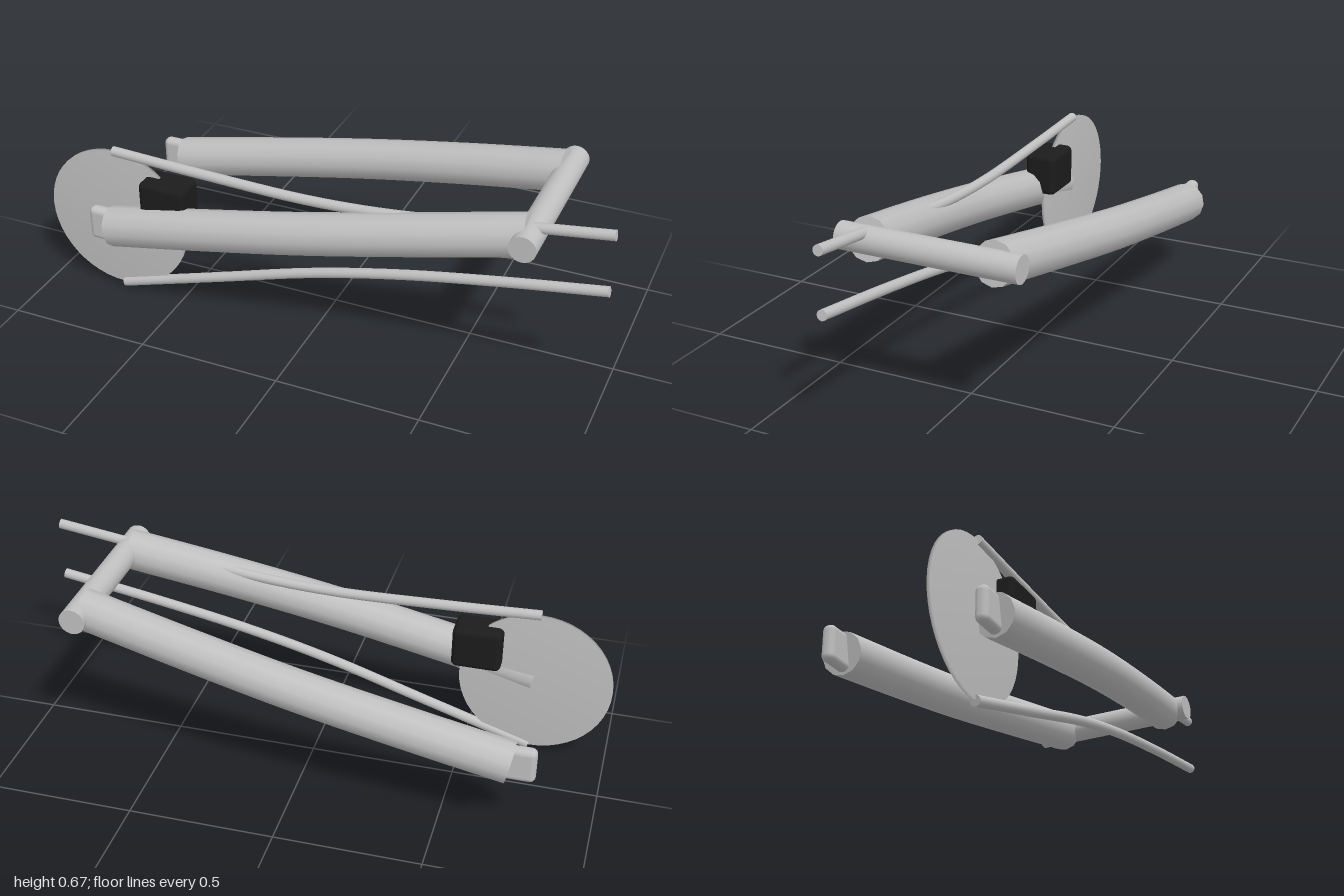
import * as THREE from 'three';
import { mergeGeometries, mergeVertices } from 'three/addons/utils/BufferGeometryUtils.js';
import { RoundedBoxGeometry } from 'three/addons/geometries/RoundedBoxGeometry.js';

const metal = new THREE.MeshStandardMaterial({ color: 0xc0c0c0 });
metal.name = 'brushedMetal';
const black = new THREE.MeshStandardMaterial({ color: 0x1c1c1c });
black.name = 'blackCasing';

// Round tube through the given points, closed by a flat cap at each end
function cappedTube(points, radius, sides) {
  const curve = new THREE.CatmullRomCurve3(points.map(p => new THREE.Vector3(...p)));
  const tube = new THREE.TubeGeometry(curve, 32, radius, sides, false);
  const caps = [0, 1].map(end => {
    const i = end * 32, s = end ? 1 : -1;
    const frame = new THREE.Matrix4().makeBasis(
      tube.normals[i].clone().multiplyScalar(s),
      tube.binormals[i],
      tube.tangents[i].clone().multiplyScalar(s)
    ).setPosition(curve.getPoint(end));
    return new THREE.CircleGeometry(radius, sides).applyMatrix4(frame);
  });
  return mergeGeometries([tube, ...caps]);
}

export function createModel() {
  const group = new THREE.Group();
  const add = (name, geometry, material, x = 0, y = 0, z = 0) => {
    const mesh = new THREE.Mesh(geometry, material);
    mesh.name = name;
    mesh.position.set(x, y, z);
    group.add(mesh);
  };

  // Bowed swing arms with their rounded axle plates
  for (const side of [1, -1]) {
    const label = side > 0 ? 'front' : 'rear';
    add(label + 'Arm', cappedTube([
      [-0.725, 0.29, 0.267 * side], [-0.36, 0.366, 0.272 * side],
      [0, 0.441, 0.268 * side], [0.37, 0.518, 0.245 * side], [0.735, 0.592, 0.212 * side]
    ], 0.071, 12), metal);
    add(label + 'AxlePlate', new RoundedBoxGeometry(0.16, 0.124, 0.045, 3, 0.02),
      metal, -0.73, 0.293, 0.267 * side);
  }

  // Pivot bar joining the arms
  add('pivotBar', new THREE.CylinderGeometry(0.045, 0.045, 0.61, 24).rotateX(Math.PI / 2),
    metal, 0.738, 0.592, 0);

  // Thin disc with normals blended across its rim
  let disc = new THREE.CylinderGeometry(0.265, 0.265, 0.012, 48).rotateX(Math.PI / 2);
  disc.deleteAttribute('normal');
  disc.deleteAttribute('uv');
  disc = mergeVertices(disc);
  disc.computeVertexNormals();
  add('disc', disc, metal, -0.735, 0.29, 0.209);

  // Upper and lower runs beside the arm
  add('upperRun', cappedTube([
    [-0.735, 0.556, 0.212], [-0.4, 0.543, 0.212], [0, 0.535, 0.212],
    [0.3, 0.554, 0.212], [0.65, 0.606, 0.212], [0.997, 0.655, 0.212]
  ], 0.0175, 16), metal);
  add('lowerRun', cappedTube([
    [-0.73, 0.022, 0.212], [-0.35, 0.142, 0.212], [0, 0.253, 0.212],
    [0.3, 0.328, 0.212], [0.65, 0.395, 0.212], [0.997, 0.452, 0.212]
  ], 0.0175, 16), metal);

  // Caliper straddling the disc
  add('caliper', new RoundedBoxGeometry(0.172, 0.152, 0.118, 3, 0.02), black, -0.53, 0.412, 0.212);

  return group;
}
